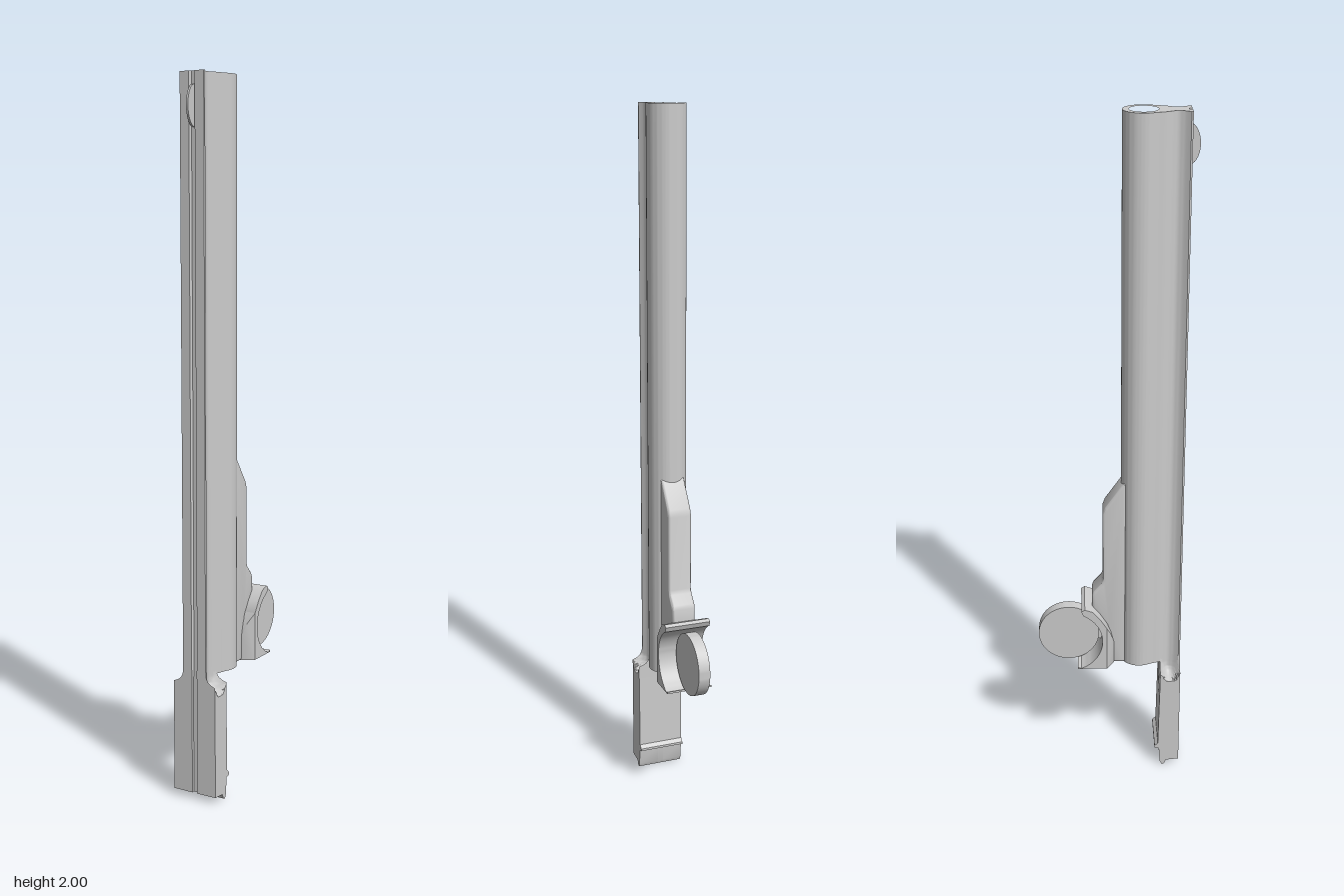
import * as THREE from 'three';
import { toCreasedNormals } from 'three/addons/utils/BufferGeometryUtils.js';

const material = new THREE.MeshStandardMaterial({ color: 0xcccccc });

function addPart(group, name, geometry, crease = 0.6) {
  const mesh = new THREE.Mesh(toCreasedNormals(geometry, crease), material);
  mesh.name = name;
  group.add(mesh);
  return mesh;
}

const shapeOf = (points) => new THREE.Shape(points.map(([a, b]) => new THREE.Vector2(a, b)));

// Side profile given as [z, y], extruded across x from x0 to x1
function sideExtrude(points, x0, x1, bevel = 0) {
  const geometry = new THREE.ExtrudeGeometry(shapeOf(points), {
    depth: x1 - x0 - 2 * bevel,
    bevelEnabled: bevel > 0,
    bevelSize: bevel,
    bevelThickness: bevel,
    bevelOffset: -bevel,
    bevelSegments: 3,
  });
  geometry.rotateY(-Math.PI / 2);
  return geometry.translate(x1 - bevel, 0, 0);
}

// Half-width of the waisted rail at depth z
function railWidth(z) {
  const t = THREE.MathUtils.clamp((z - 0.135) / 0.06, 0, 1);
  return 0.038 - 0.014 * Math.sin(Math.PI * t);
}

// Round barrel, neck and grooved rail in one section
function barrelGeometry() {
  const half = [];
  for (let i = 0; i <= 24; i++) {
    const a = -Math.PI / 2 + (i / 24) * (Math.PI * 0.66);
    half.push([0.055 * Math.cos(a), 0.077 + 0.055 * Math.sin(a)]);
  }
  half.push([0.041, 0.124]);
  for (let i = 0; i <= 10; i++) {
    const z = 0.135 + 0.006 * i;
    half.push([railWidth(z), z]);
  }
  half.push([0.037, 0.2], [0.009, 0.2], [0.006, 0.192]);
  const right = half.map(([x, z]) => [x, -z]);
  const left = half.slice(1).reverse().map(([x, z]) => [-x, -z]);
  const shape = shapeOf([...right, ...left]);
  const bore = new THREE.Path();
  bore.absarc(0, -0.077, 0.038, 0, Math.PI * 2, true);
  shape.holes.push(bore);
  const geometry = new THREE.ExtrudeGeometry(shape, { depth: 1.64, bevelEnabled: false, curveSegments: 40 });
  return geometry.rotateX(-Math.PI / 2).translate(0, 0.36, 0);
}

// Shoulder that blends the wide foot into the rail with a scooped edge
function shoulderGeometry(side) {
  const geometry = new THREE.BoxGeometry(1, 0.08, 0.06, 1, 16, 12).translate(0.5, 0.34, 0.17);
  const p = geometry.attributes.position;
  for (let i = 0; i < p.count; i++) {
    const y = p.getY(i);
    const z = p.getZ(i);
    const scoop = Math.sin((Math.PI * (z - 0.14)) / 0.06);
    const start = 0.342 - 0.032 * scoop;
    const t = THREE.MathUtils.clamp((y - start) / 0.03, 0, 1);
    const blend = Math.sqrt(1 - (1 - t) ** 2);
    const outer = THREE.MathUtils.lerp(0.068, railWidth(z), blend);
    p.setX(i, side * (p.getX(i) > 0.5 ? outer : 0.008));
  }
  if (side < 0) {
    // Mirroring flips the winding, so restore it
    const index = geometry.index;
    for (let i = 0; i < index.count; i += 3) {
      const a = index.getX(i);
      index.setX(i, index.getX(i + 2));
      index.setX(i + 2, a);
    }
  }
  return geometry;
}

// Foot profile with rear lip and hooked toe
function footProfile(front, top) {
  return [
    [front, 0.02], [front, top], [0.14, top], [0.138, 0.2], [0.136, 0.08],
    [0.126, 0.07], [0.126, 0.063], [0.139, 0.06], [0.143, 0.012],
    [0.148, 0], [0.156, 0.002], [0.162, 0.016],
  ];
}

export function createModel() {
  const model = new THREE.Group();

  addPart(model, 'barrelAndRail', barrelGeometry());

  // Foot block, with the front groove carried down its middle
  const foot = new THREE.Group();
  foot.name = 'foot';
  model.add(foot);
  addPart(foot, 'footCentre', sideExtrude(footProfile(0.192, 0.375), -0.009, 0.009));
  for (const side of [-1, 1]) {
    const [x0, x1] = side > 0 ? [0.008, 0.068] : [-0.068, -0.008];
    addPart(foot, 'footSide', sideExtrude(footProfile(0.2, 0.302), x0, x1));
    addPart(foot, 'footShoulder', shoulderGeometry(side));
  }

  // Thin rounded blade near the top of the rail
  const bladeArc = [];
  for (let i = 0; i <= 16; i++) {
    const a = (Math.PI * i) / 16;
    bladeArc.push([0.19 + 0.033 * Math.sin(a), 1.912 - 0.055 * Math.cos(a)]);
  }
  addPart(model, 'frontBlade', sideExtrude(bladeArc, -0.003, 0.003));

  // Stepped spine behind the barrel
  addPart(model, 'rearSpine', sideExtrude([
    [0.036, 0.36], [0.036, 0.965], [0.022, 0.952], [-0.024, 0.885], [-0.031, 0.865],
    [-0.031, 0.645], [-0.036, 0.632], [-0.058, 0.607], [-0.063, 0.595],
    [-0.063, 0.55], [-0.02, 0.49], [-0.005, 0.36],
  ].reverse(), -0.035, 0.035, 0.007));

  // Cradle that wraps the wheel, tapering toward the barrel
  const cradle = new THREE.Group();
  cradle.name = 'wheelCradle';
  model.add(cradle);
  const profile = [[-0.107, 0.36], [-0.02, 0.36], [-0.02, 0.5], [-0.04, 0.532], [-0.062, 0.558], [-0.085, 0.566], [-0.095, 0.56]];
  for (let i = 0; i <= 24; i++) {
    const a = THREE.MathUtils.degToRad(64 - (i / 24) * 133);
    profile.push([-0.133 + 0.1 * Math.cos(a), 0.455 + 0.1 * Math.sin(a)]);
  }
  profile.push([-0.107, 0.366]);
  addPart(cradle, 'cradleBody', sideExtrude(profile, -0.068, 0.068));
  const taper = sideExtrude([[-0.02, 0.36], [0.002, 0.36], [0.002, 0.43], [-0.008, 0.47], [-0.02, 0.5]], -0.068, 0.068);
  const p = taper.attributes.position;
  for (let i = 0; i < p.count; i++) {
    const t = (p.getZ(i) + 0.02) / 0.022;
    p.setX(i, p.getX(i) * THREE.MathUtils.lerp(1, 0.5, t));
  }
  addPart(cradle, 'cradleTaper', taper);

  // Flat wheel on a cross axis
  const wheel = new THREE.CylinderGeometry(0.09, 0.09, 0.034, 64).rotateZ(Math.PI / 2);
  addPart(model, 'wheel', wheel).position.set(0, 0.455, -0.133);

  // Wheel support joining it to the cradle
  addPart(model, 'wheelMount', new THREE.BoxGeometry(0.02, 0.05, 0.04)).position.set(0, 0.455, -0.04);

  return model;
}
